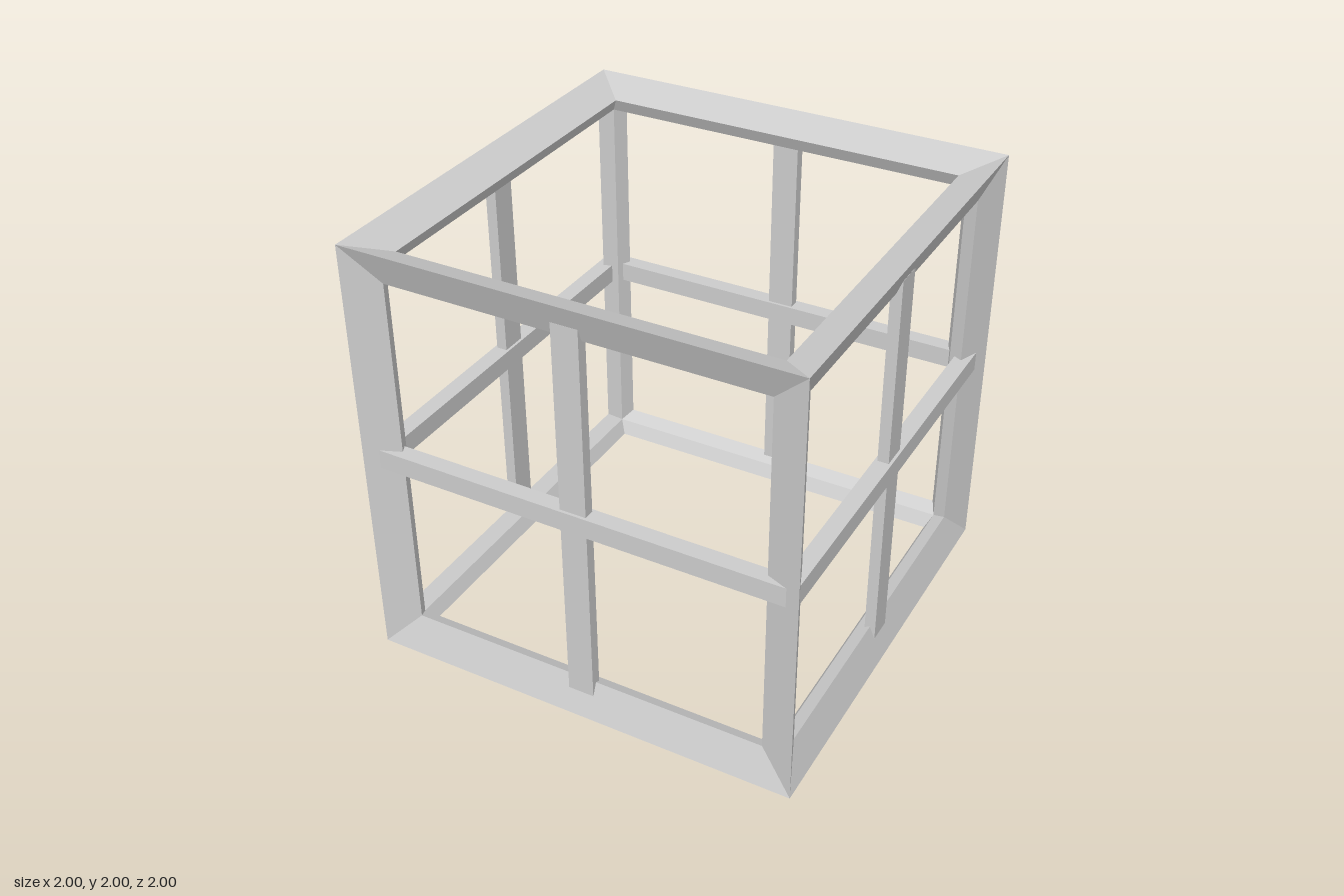
import * as THREE from 'three';

const material = new THREE.MeshStandardMaterial({ color: 0xcccccc, flatShading: true });

// One mitred edge bar along x at the +y +z edge of a cube.
// Each section corner is [y, z, half length].
function edgeBarGeometry() {
  const section = [
    [1, 1, 1], // outer edge
    [0.936, 0.84, 0.84], // lip of the top face
    [0.872, 0.872, 0.872], // inner edge
    [0.84, 0.936, 0.84], // lip of the front face
  ];
  const positions = [];
  section.forEach(([y0, z0, l0], i) => {
    const [y1, z1, l1] = section[(i + 1) % section.length];
    const a = [-l0, y0, z0], b = [l0, y0, z0], c = [l1, y1, z1], d = [-l1, y1, z1];
    positions.push(...a, ...b, ...c, ...a, ...c, ...d);
  });
  const geometry = new THREE.BufferGeometry();
  geometry.setAttribute('position', new THREE.Float32BufferAttribute(positions, 3));
  geometry.computeVertexNormals();
  return geometry;
}

export function createModel() {
  const model = new THREE.Group();
  model.name = 'cubeFrame';

  const add = (parent, name, geometry) => {
    const mesh = new THREE.Mesh(geometry, material);
    mesh.name = name;
    parent.add(mesh);
    return mesh;
  };

  // Twelve edge bars: four parallel to each axis
  const frame = new THREE.Group();
  frame.name = 'outerFrame';
  frame.position.y = 1;
  model.add(frame);
  const bar = edgeBarGeometry();
  for (let i = 0; i < 4; i++) {
    const alongX = bar.clone().rotateX(i * Math.PI / 2);
    add(frame, 'widthRail', alongX);
    add(frame, 'cornerPost', alongX.clone().rotateZ(Math.PI / 2));
    add(frame, 'depthRail', alongX.clone().rotateY(Math.PI / 2));
  }

  // A crossed upright and crossbar in each of the four side openings
  const upright = new THREE.BoxGeometry(0.12, 1.8, 0.05);
  const crossbar = new THREE.BoxGeometry(1.872, 0.09, 0.076);
  ['front', 'left', 'back', 'right'].forEach((side, i) => {
    const lattice = new THREE.Group();
    lattice.name = side + 'Lattice';
    lattice.position.y = 1;
    lattice.rotation.y = i * Math.PI / 2;
    add(lattice, 'upright', upright).position.z = 0.936;
    add(lattice, 'crossbar', crossbar).position.z = 0.936;
    model.add(lattice);
  });

  return model;
}
